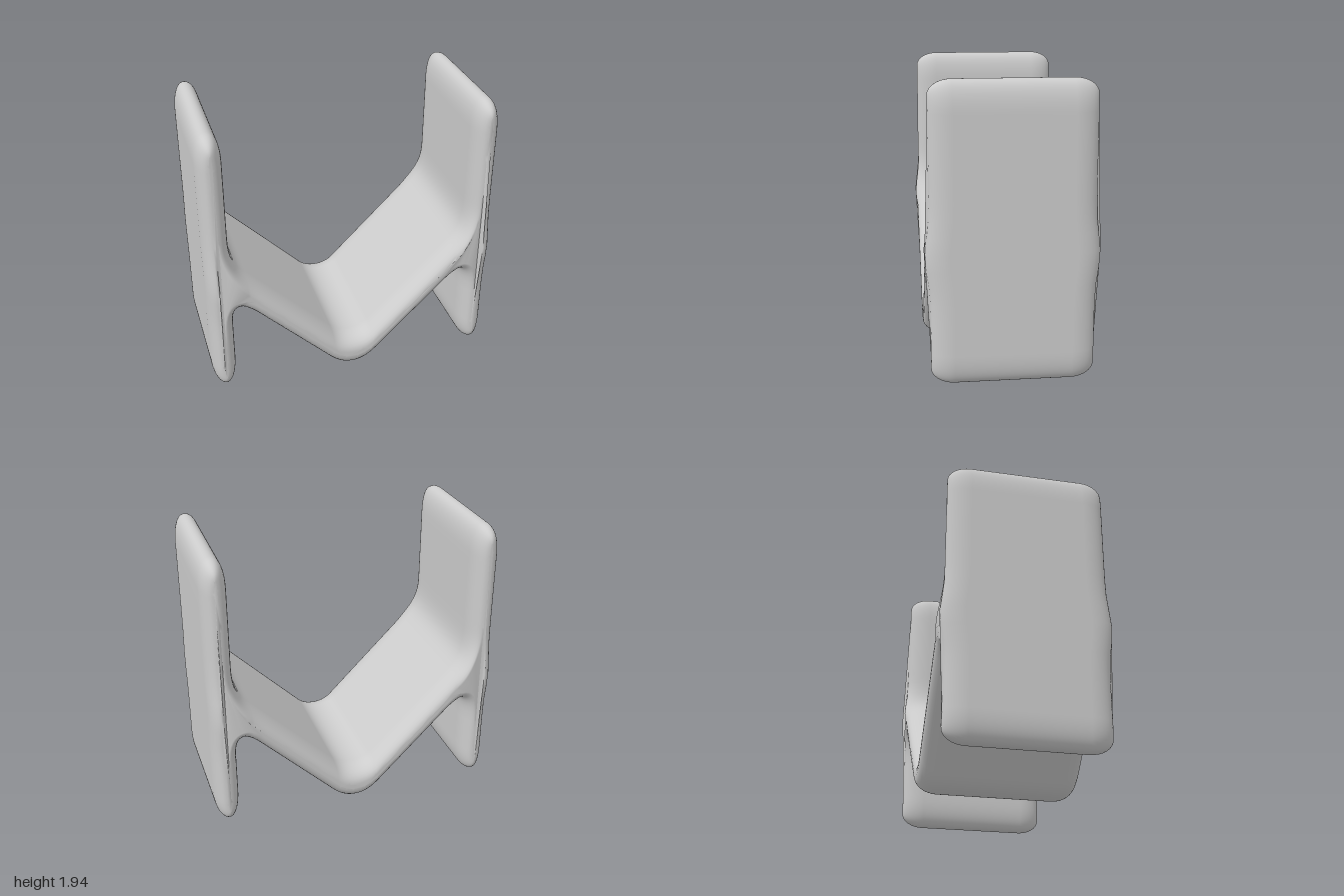
import * as THREE from 'three';

const smooth = THREE.MathUtils.smoothstep;

// Front outline of the whole body, shrunk inwards by d
function outline(d) {
  const k = d * Math.SQRT2; // vertical shift of the 45 degree arms
  const e = d * 1.3; // shift of the panel tips
  const inner = 0.83 + d, outer = 1 - d, mid = 0.915, c = (0.085 - d) * 0.6;
  const lo = 0.015 + e, hi = 1.945 - e;
  const p = new THREE.Path();
  // underside of the V arm and the arch beneath the joint
  p.moveTo(0, 0.005 + k);
  p.bezierCurveTo(0.07, 0.005 + k, 0.12, 0.04 + k, 0.17, 0.09 + k);
  p.lineTo(0.66, 0.58 + k);
  p.bezierCurveTo(0.77, 0.69 + k, inner, 0.72 + d, inner, 0.5);
  // upright panel with tapered round tips
  p.lineTo(inner, 0.22);
  p.bezierCurveTo(inner, 0.08 + e * 0.7, mid - c, lo, mid, lo);
  p.bezierCurveTo(mid + c, lo, outer, 0.08 + e * 0.7, outer, 0.22);
  p.lineTo(outer, 1.74);
  p.bezierCurveTo(outer, 1.88 - e * 0.7, mid + c, hi, mid, hi);
  p.bezierCurveTo(mid - c, hi, inner, 1.88 - e * 0.7, inner, 1.74);
  // top side of the V arm
  p.lineTo(inner, 1.2);
  p.bezierCurveTo(inner, 1.02, 0.8, 0.97 - k, 0.72, 0.89 - k);
  p.lineTo(0.14, 0.31 - k);
  p.bezierCurveTo(0.1, 0.27 - k, 0.05, 0.255 - k, 0, 0.255 - k);

  const half = p.curves.flatMap((s) => s.getPoints(14).slice(0, -1));
  half.push(new THREE.Vector2(0, 0.255 - k));
  const left = half.slice(1, -1).reverse().map((v) => new THREE.Vector2(-v.x, v.y));
  return [...half, ...left];
}

// Half depth: arms are slightly deeper than the panels, with a swell at the joints
function depth(x, y) {
  const ax = Math.abs(x);
  const arm = 0.02 * (1 - smooth(ax, 0.72, 0.86));
  const joint = 0.03 * Math.exp(-(((y - 0.85) / 0.17) ** 2)) * smooth(ax, 0.55, 0.8);
  return 0.52 + Math.max(arm, joint);
}

// Loft the outline from back to front with rounded edges
function bodyGeometry() {
  const steps = 8, round = 0.15, inset = 0.075;
  const pos = [], index = [];
  const layers = [];
  for (let i = 0; i <= steps; i++) layers.push([-1, i / steps]);
  for (let i = steps; i >= 0; i--) layers.push([1, i / steps]);
  let n = 0;
  layers.forEach(([side, t]) => {
    const a = (t * Math.PI) / 2;
    const pts = outline(inset * (1 - Math.sin(a)));
    n = pts.length;
    for (const v of pts) {
      pos.push(v.x, v.y, side * (depth(v.x, v.y) - round * (1 - Math.cos(a))));
    }
  });
  for (let j = 0; j < layers.length - 1; j++) {
    for (let i = 0; i < n; i++) {
      const a = j * n + i, b = j * n + ((i + 1) % n);
      index.push(a, b, b + n, a, b + n, a + n);
    }
  }
  // narrow flat strips that close the front and back
  const last = (layers.length - 1) * n;
  for (const [a, b, c] of THREE.ShapeUtils.triangulateShape(outline(inset), [])) {
    index.push(a, c, b, a + last, b + last, c + last);
  }
  const g = new THREE.BufferGeometry();
  g.setAttribute('position', new THREE.Float32BufferAttribute(pos, 3));
  g.setIndex(index);
  g.computeVertexNormals();
  return g;
}

export function createModel() {
  const grey = new THREE.MeshStandardMaterial({ color: 0xcccccc });
  grey.name = 'light grey';
  const body = new THREE.Mesh(bodyGeometry(), grey);
  body.name = 'panelsAndFoldedSeat';
  const group = new THREE.Group();
  group.name = 'foldedStand';
  group.add(body);
  return group;
}
